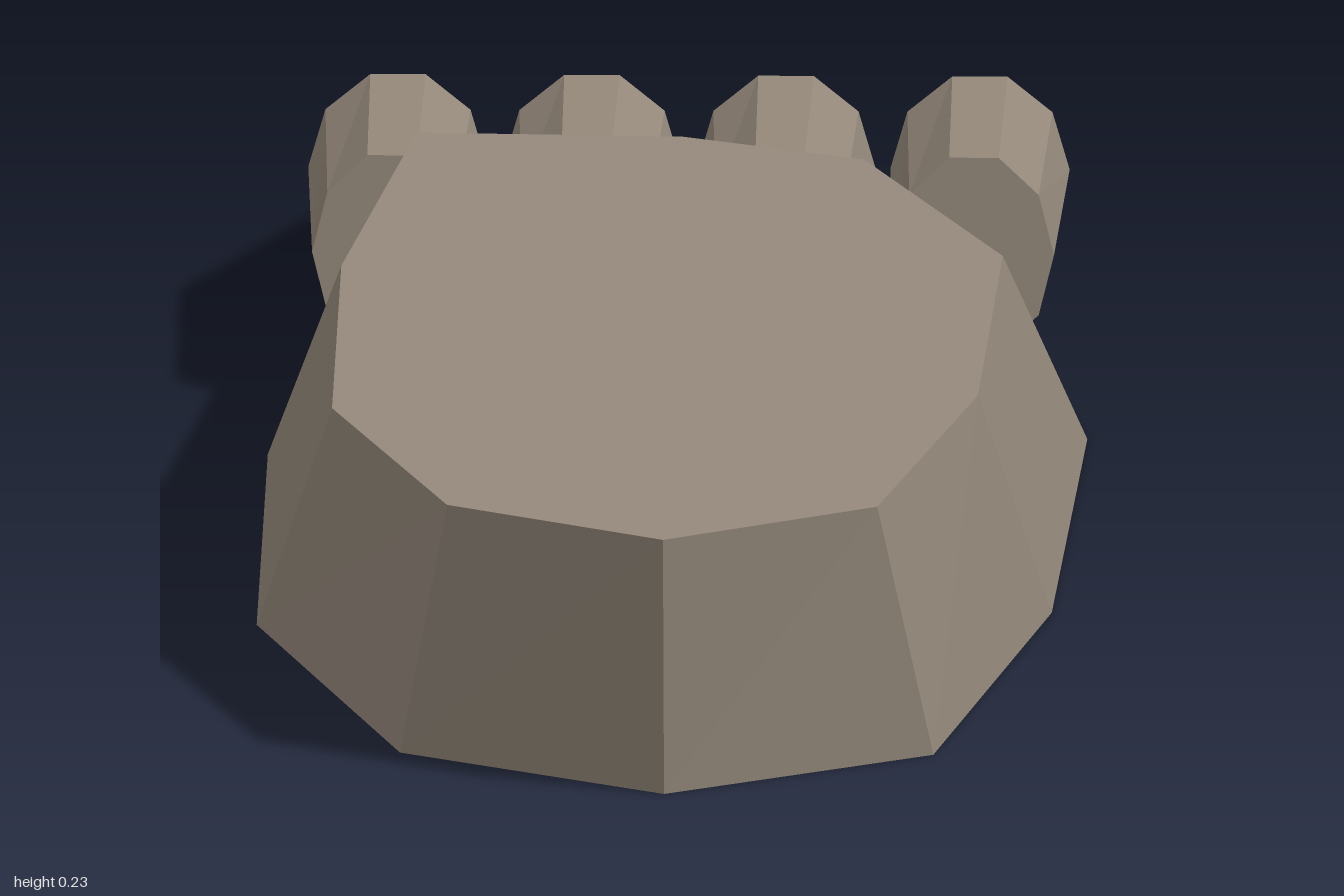
import * as THREE from 'three';

const hide = new THREE.MeshStandardMaterial({ color: 0x95897b, flatShading: true });
hide.name = 'greyBrown';

// Skins a list of equal-length rings of [x, y, z] points and closes both ends.
// Each ring runs counter-clockwise as seen from the end it travels towards.
function loft(rings) {
  const n = rings[0].length;
  const out = [];
  const tri = (a, b, c) => out.push(...a, ...b, ...c);
  for (let r = 0; r < rings.length - 1; r++) {
    const a = rings[r], b = rings[r + 1];
    for (let i = 0; i < n; i++) {
      const j = (i + 1) % n;
      tri(a[i], a[j], b[j]);
      tri(a[i], b[j], b[i]);
    }
  }
  const first = rings[0], last = rings[rings.length - 1];
  for (let i = 1; i < n - 1; i++) {
    tri(first[0], first[i + 1], first[i]);
    tri(last[0], last[i], last[i + 1]);
  }
  const g = new THREE.BufferGeometry();
  g.setAttribute('position', new THREE.Float32BufferAttribute(out, 3));
  g.computeVertexNormals();
  return g;
}

// Elliptical ten-sided ring around the finger axis, facing -z
function ring([z, y, rx, ry]) {
  return Array.from({ length: 10 }, (_, i) => {
    const a = (i / 10) * Math.PI * 2;
    return [-Math.cos(a) * rx, y + Math.sin(a) * ry, z];
  });
}

function part(name, geometry) {
  const m = new THREE.Mesh(geometry, hide);
  m.name = name;
  return m;
}

export function createModel() {
  const group = new THREE.Group();
  group.name = 'clawedPaw';

  // Palm slab: outlines as [x, z], wider at the sole and sloping at the knuckles
  const sole = [
    [0.005, 0.95], [0.225, 0.82], [0.315, 0.36], [0.335, -0.2], [0.27, -0.57],
    [0, -0.67], [-0.24, -0.69], [-0.34, -0.14], [-0.34, 0.41], [-0.215, 0.82],
  ];
  const back = [
    [0.005, 1], [0.18, 0.89], [0.257, 0.53], [0.27, 0.08], [0.15, -0.23],
    [0, -0.3], [-0.22, -0.31], [-0.275, 0.12], [-0.275, 0.58], [-0.175, 0.89],
  ];
  group.add(part('palm', loft([
    sole.map(([x, z]) => [x, 0, z]),
    back.map(([x, z]) => [x, 0.23, z]),
  ])));

  // Fingers and claws: rings as [z, y, halfWidth, halfHeight]
  const fingerGeo = loft([
    [-0.29, 0.133, 0.066, 0.087],
    [-0.585, 0.128, 0.074, 0.083],
    [-0.86, 0.047, 0.046, 0.039],
  ].map(ring));
  const clawGeo = loft([
    [-0.85, 0.047, 0.03, 0.03],
    [-0.872, 0.05, 0.036, 0.034],
    [-0.935, 0.06, 0.02, 0.023],
    [-1, 0.036, 0.002, 0.002],
  ].map(ring));

  for (let i = 0; i < 4; i++) {
    const digit = new THREE.Group();
    digit.name = 'digit' + (i + 1);
    digit.position.x = -0.24 + i * 0.16;
    digit.add(part('finger', fingerGeo), part('claw', clawGeo));
    group.add(digit);
  }
  return group;
}
